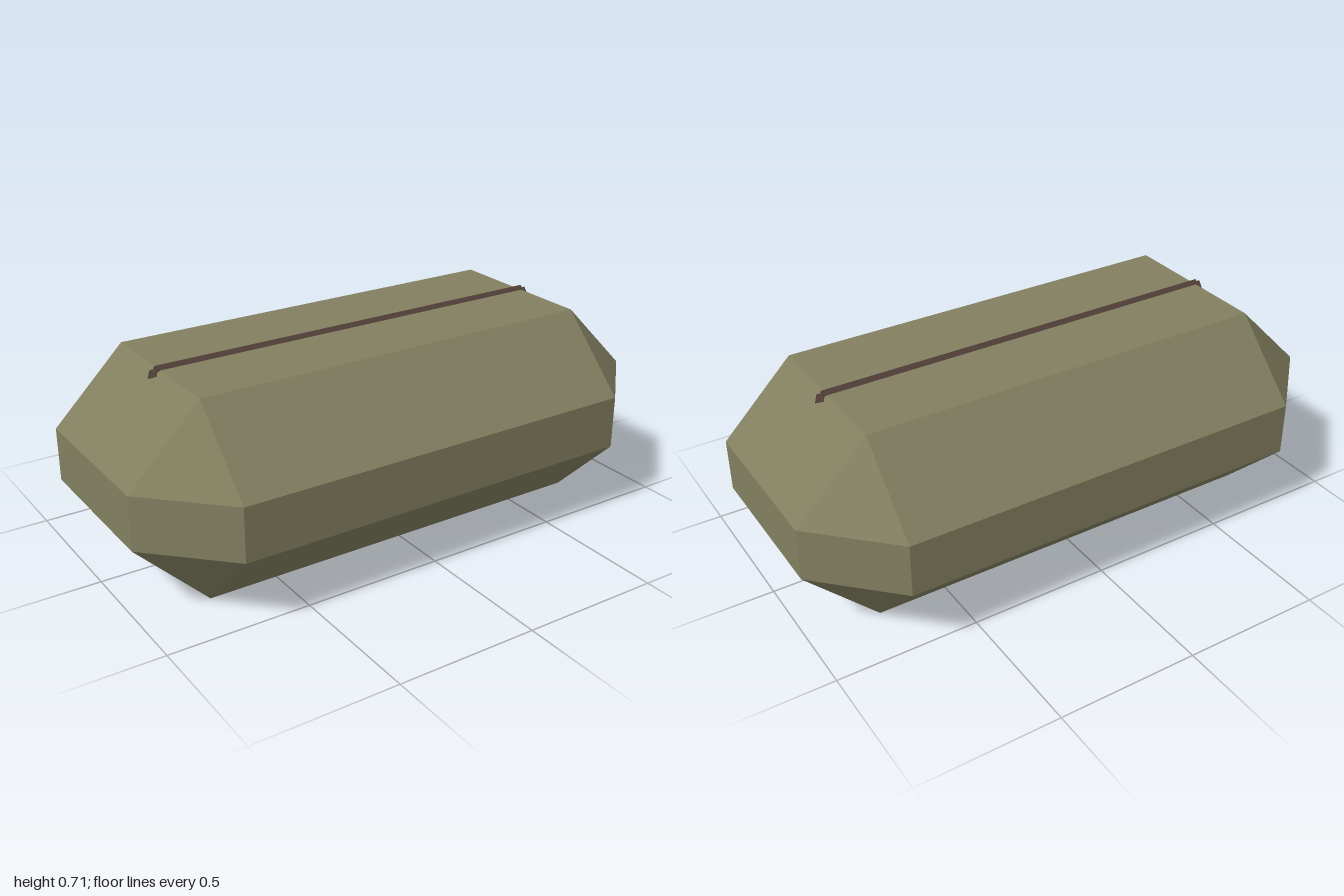
import * as THREE from 'three';
import { ConvexGeometry } from 'three/addons/geometries/ConvexGeometry.js';

export function createModel() {
  const group = new THREE.Group();
  const canvas = new THREE.MeshStandardMaterial({ color: 0x827f60 });
  canvas.name = 'olive canvas';
  const brown = new THREE.MeshStandardMaterial({ color: 0x513f38 });
  brown.name = 'dark brown';

  const add = (name, geometry, material, parent = group) => {
    const mesh = new THREE.Mesh(geometry, material);
    mesh.name = name;
    parent.add(mesh);
    return mesh;
  };

  // Body: a box with every edge and corner cut at 45 degrees
  const half = [1, 0.35, 0.545], cut = 0.255;
  const points = [];
  for (const sx of [-1, 1]) for (const sy of [-1, 1]) for (const sz of [-1, 1]) {
    const signs = [sx, sy, sz];
    for (let axis = 0; axis < 3; axis++) {
      const p = half.map((h, i) => signs[i] * (i === axis ? h : h - cut));
      points.push(new THREE.Vector3(...p));
    }
  }
  const body = add('bagBody', new ConvexGeometry(points), canvas);
  body.position.y = 0.35;

  // Zip: a slim diamond-section bar along the top
  const bar = new THREE.CylinderGeometry(1, 1, 1.51, 4).toNonIndexed();
  bar.rotateZ(Math.PI / 2);
  bar.scale(1, 0.013, 0.016);
  bar.computeVertexNormals();
  add('zip', bar, brown).position.y = 0.7;

  // Zip ends: small faceted studs over the top end edges
  for (const side of [-1, 1]) {
    const stud = new THREE.OctahedronGeometry(1, 0);
    stud.scale(0.024, 0.018, 0.028);
    stud.rotateZ(-side * Math.PI / 5);
    add(side > 0 ? 'leftZipEnd' : 'rightZipEnd', stud, brown).position.set(side * 0.764, 0.688, 0);
  }
  return group;
}
